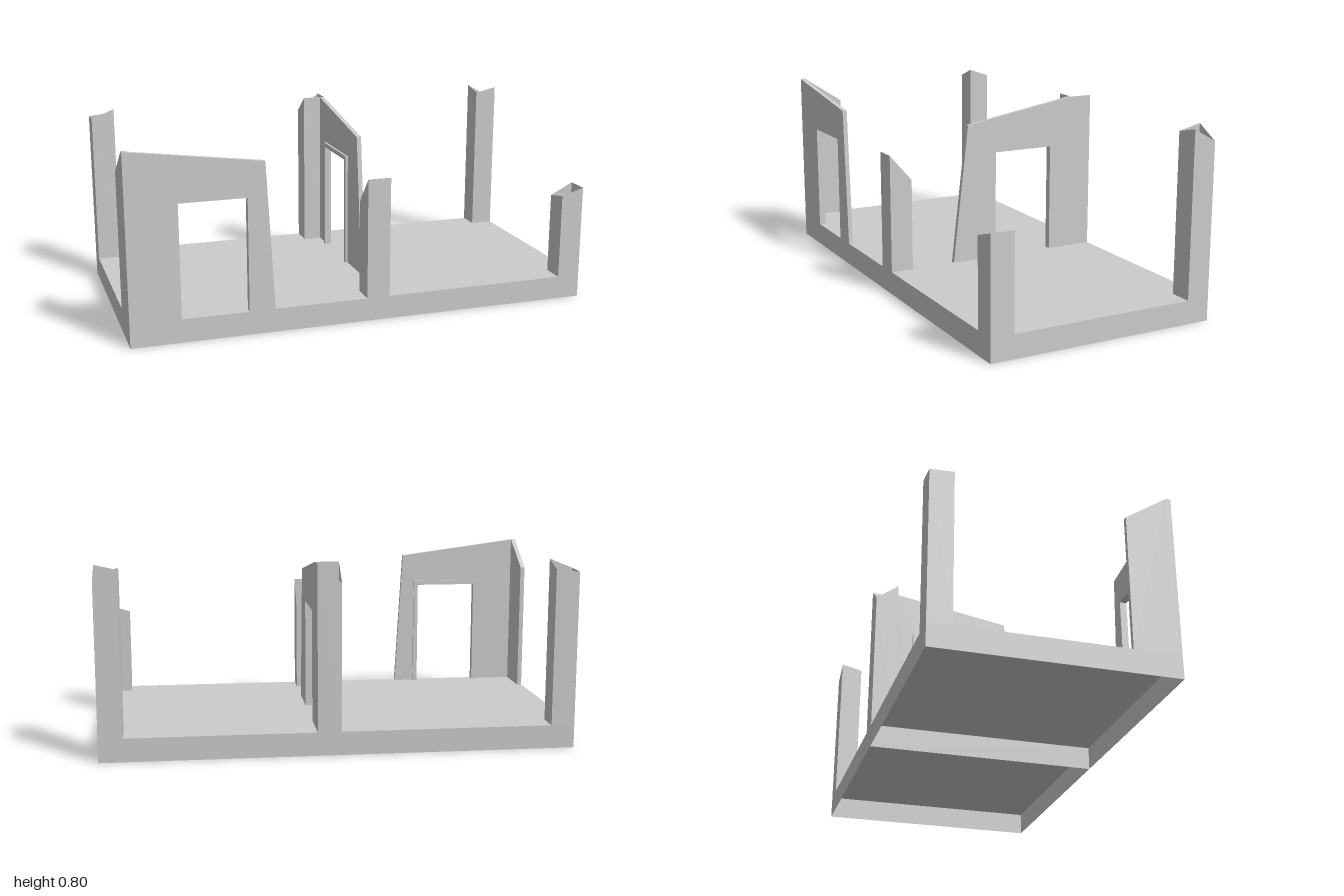
import * as THREE from 'three';

const FLOOR = 0.1;
const material = new THREE.MeshStandardMaterial({
  color: 0xcccccc, flatShading: true, side: THREE.DoubleSide,
});

function add(parent, name, geometry) {
  const mesh = new THREE.Mesh(geometry, material);
  mesh.name = name;
  parent.add(mesh);
  return mesh;
}

// Open rectangular tube of thin sheets; tops follow the corners
// (x0,z0) (x1,z0) (x1,z1) (x0,z1)
function openTube(x0, x1, z0, z1, bottom, tops) {
  const corners = [[x0, z0], [x1, z0], [x1, z1], [x0, z1]];
  const positions = [];
  for (let i = 0; i < 4; i++) {
    const j = (i + 1) % 4;
    const [ax, az] = corners[i], [bx, bz] = corners[j];
    const a = [ax, bottom, az], b = [bx, bottom, bz];
    const c = [bx, tops[j], bz], d = [ax, tops[i], az];
    positions.push(...a, ...c, ...b, ...a, ...d, ...c);
  }
  const geometry = new THREE.BufferGeometry();
  geometry.setAttribute('position', new THREE.Float32BufferAttribute(positions, 3));
  geometry.computeVertexNormals();
  return geometry;
}

// Flat panel from an outline of [across, height] points
function panel(points, depth) {
  const shape = new THREE.Shape(points.map(([u, v]) => new THREE.Vector2(u, v)));
  return new THREE.ExtrudeGeometry(shape, { depth, bevelEnabled: false });
}

// Door opening as a notch running up from the floor, from left to right
const notch = (a, b, top) => [[a, FLOOR], [a, top], [b, top], [b, FLOOR]];

// Thin trim around a door opening
const trim = (a, b) => panel([
  [a - 0.02, FLOOR], ...notch(a, b, 0.58), [b + 0.02, FLOOR], [b + 0.02, 0.6], [a - 0.02, 0.6],
], 0.01);

// Turn a panel so that its width runs along z and its depth along -x
function turn(mesh, x) {
  mesh.rotation.y = -Math.PI / 2;
  mesh.position.x = x;
}

export function createModel() {
  const model = new THREE.Group();
  model.name = 'ruinedBuilding';

  // Hollow foundation, open underneath, with a divider between its two bays
  const base = new THREE.Group();
  base.name = 'foundation';
  model.add(base);
  add(base, 'foundationSides', openTube(-1, 1, -0.5, 0.5, 0, [FLOOR, FLOOR, FLOOR, FLOOR]));
  const floor = add(base, 'floor', new THREE.PlaneGeometry(2, 1));
  floor.rotation.x = -Math.PI / 2;
  floor.position.y = FLOOR;
  const divider = add(base, 'foundationDivider', new THREE.PlaneGeometry(1, FLOOR));
  divider.rotation.y = -Math.PI / 2;
  divider.position.y = FLOOR / 2;

  // Broken hollow posts
  const posts = [
    ['backRightPost', -1, -0.5, [0.755, 0.765, 0.8, 0.76]],
    ['backMiddlePost', 0, -0.5, [0.725, 0.8, 0.8, 0.8]],
    ['backLeftPost', 0.9, -0.5, [0.8, 0.743, 0.8, 0.777]],
    ['frontMiddlePost', 0, 0.4, [0.5, 0.5, 0.615, 0.615]],
    ['frontLeftPost', 0.9, 0.4, [0.45, 0.5, 0.5, 0.47]],
  ];
  for (const [name, x, z, tops] of posts) {
    add(model, name, openTube(x, x + 0.1, z, z + 0.1, FLOOR, tops));
  }

  // Front wall remnant with doorway and trim
  const frontWall = add(model, 'frontWall', panel([
    [-1, FLOOR], ...notch(-0.79, -0.51, 0.58), [-0.4, FLOOR], [-0.435, 0.725], [-1, 0.8],
  ], 0.02));
  frontWall.position.z = 0.48;
  add(model, 'frontDoorTrim', trim(-0.79, -0.51)).position.z = 0.47;

  // Short side wall returning from the front corner
  turn(add(model, 'sideWall', panel([
    [0.3, FLOOR], [0.48, FLOOR], [0.48, 0.8], [0.3, 0.68],
  ], 0.02)), -0.98);

  // Interior wall remnant with doorway and trim
  turn(add(model, 'interiorWall', panel([
    [-0.4, FLOOR], ...notch(-0.29, -0.01, 0.58), [0.2, FLOOR], [0.128, 0.712], [-0.4, 0.8],
  ], 0.02)), 0.1);
  turn(add(model, 'interiorDoorTrim', trim(-0.29, -0.01)), 0.08);

  return model;
}
